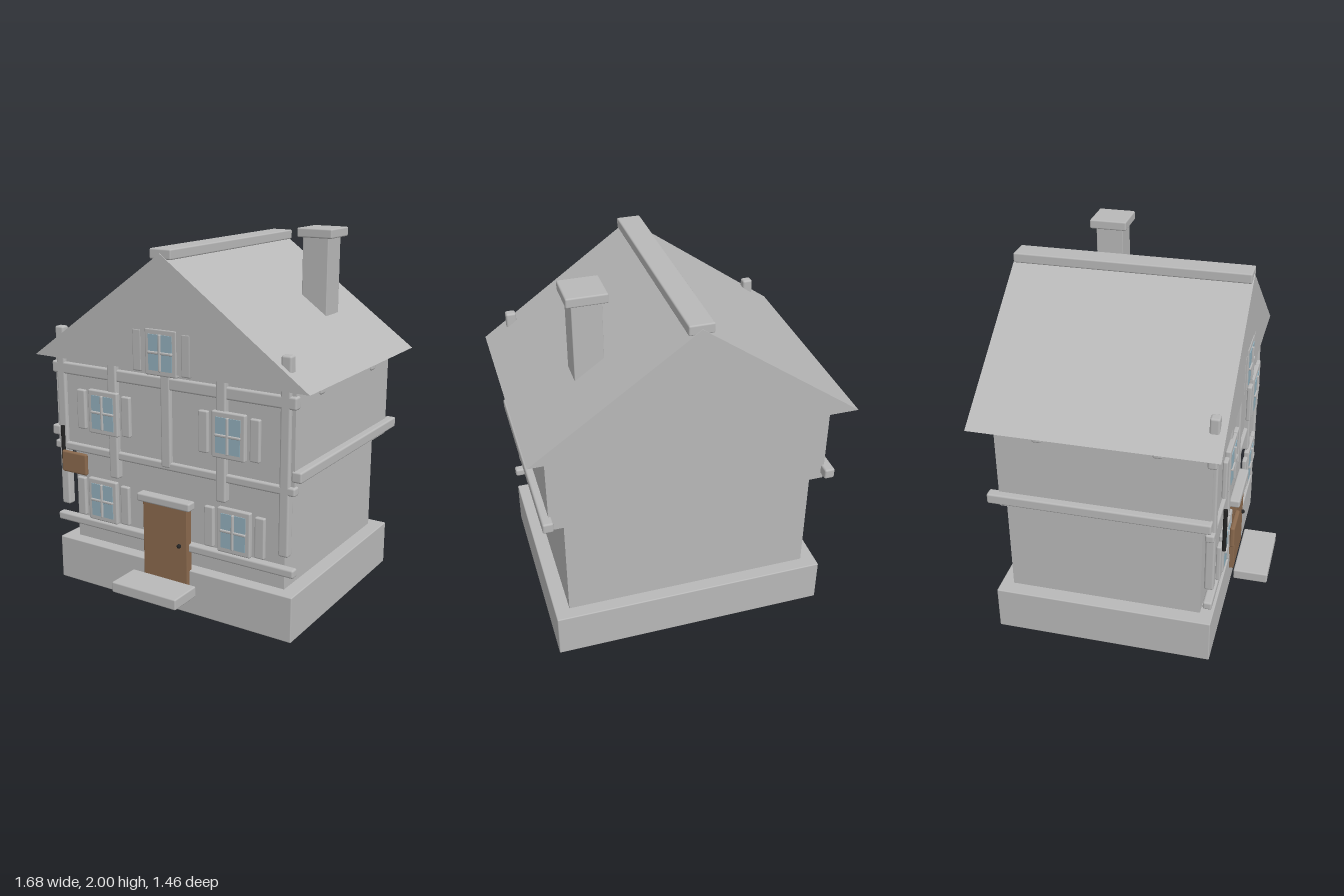
import * as THREE from 'three';
import { RoundedBoxGeometry } from 'three/addons/geometries/RoundedBoxGeometry.js';

const material = (name, color) => {
  const m = new THREE.MeshStandardMaterial({ color });
  m.name = name;
  return m;
};

export function createModel() {
  const house = new THREE.Group();
  house.name = 'house';
  const plaster = material('plaster grey', 0xb8b8b8);
  const wood = material('brown wood', 0x8b6a4e);
  const glass = material('window blue', 0x93b0bd);
  const iron = material('dark iron', 0x242424);

  const add = (name, geometry, mat, x = 0, y = 0, z = 0, parent = house) => {
    const mesh = new THREE.Mesh(geometry, mat);
    mesh.name = name;
    mesh.position.set(x, y, z);
    parent.add(mesh);
    return mesh;
  };
  // Box given by its limits on each axis; r > 0 rounds the edges
  const block = (name, [x0, x1], [y0, y1], [z0, z1], r = 0, mat = plaster, parent = house) => {
    const w = x1 - x0, h = y1 - y0, d = z1 - z0;
    const g = r ? new RoundedBoxGeometry(w, h, d, 2, r) : new THREE.BoxGeometry(w, h, d);
    return add(name, g, mat, (x0 + x1) / 2, (y0 + y1) / 2, (z0 + z1) / 2, parent);
  };

  // Masonry body
  block('foundation', [-0.75, 0.75], [0, 0.25], [-0.685, 0.5], 0.006);
  block('groundFloorWalls', [-0.67, 0.67], [0.24, 0.83], [-0.615, 0.43]);
  block('upperFloorWalls', [-0.745, 0.745], [0.825, 1.32], [-0.62, 0.485]);

  // Gabled roof, closed underneath
  const gable = new THREE.Shape();
  gable.moveTo(-0.842, 1.315);
  gable.lineTo(0.842, 1.315);
  gable.lineTo(0, 1.915);
  gable.closePath();
  const roof = new THREE.ExtrudeGeometry(gable, { depth: 1.265, bevelEnabled: false });
  add('roof', roof, plaster, 0, 0, -0.728);
  block('ridgeCap', [-0.064, 0.064], [1.885, 1.938], [-0.722, 0.532], 0.008);

  // Chimney
  block('chimneyStack', [0.38, 0.53], [1.4, 1.96], [-0.4, -0.25], 0.004);
  block('chimneyCap', [0.355, 0.56], [1.95, 2], [-0.43, -0.226], 0.008);

  // Timber frame across the front
  for (const [y, h] of [[1.252, 0.066], [0.808, 0.046], [0.378, 0.046]]) {
    block('frontRail', [-0.757, 0.757], [y - h / 2, y + h / 2], [0.457, 0.505], 0.011);
  }
  block('centreStud', [-0.03, 0.03], [0.8, 1.36], [0.465, 0.508], 0.01);
  for (const s of [-1, 1]) {
    const x = s * 0.34;
    block('frontStud', [x - 0.029, x + 0.029], [0.68, 1.38], [0.467, 0.515], 0.01);
    const c = s * 0.697;
    block('cornerPost', [c - 0.028, c + 0.028], [0.46, 1.48], [0.455, 0.505], 0.011);
    const e = s * 0.757;
    block('sideRail', [e - 0.028, e + 0.028], [0.855, 0.912], [-0.675, 0.492], 0.01);
  }
  // Cross beams whose ends show on the side walls
  for (const z of [0.215, -0.395]) {
    block('crossBeam', [-0.757, 0.757], [1.24, 1.29], [z - 0.026, z + 0.026], 0.011);
  }

  // Window with frame, pane, glazing bars and two shutters; z is the frame's front
  const addWindow = (name, x, y, z) => {
    const win = new THREE.Group();
    win.name = name;
    win.position.set(x, y, z);
    house.add(win);
    block('frame', [-0.097, 0.097], [-0.121, 0.121], [-0.03, 0], 0.008, plaster, win);
    block('pane', [-0.072, 0.072], [-0.093, 0.093], [-0.002, 0.004], 0, glass, win);
    block('uprightBar', [-0.007, 0.007], [-0.096, 0.096], [-0.004, 0.014], 0.005, plaster, win);
    block('crossBar', [-0.075, 0.075], [-0.007, 0.007], [-0.004, 0.012], 0.005, plaster, win);
    for (const s of [-1, 1]) {
      const c = s * 0.15;
      block('shutter', [c - 0.028, c + 0.028], [-0.11, 0.11], [-0.028, -0.002], 0.008, plaster, win);
    }
  };
  for (const s of [-1, 1]) {
    addWindow('groundFloorWindow', s * 0.42, 0.535, 0.52);
    addWindow('upperFloorWindow', s * 0.393, 1.042, 0.53);
  }
  addWindow('atticWindow', 0, 1.418, 0.541);

  // Entrance
  block('door', [-0.14, 0.14], [0.15, 0.605], [0.48, 0.525], 0.004, wood);
  block('doorLintel', [-0.168, 0.168], [0.597, 0.643], [0.485, 0.545], 0.01);
  block('doorstep', [-0.205, 0.203], [0.13, 0.19], [0.535, 0.728], 0.008);
  add('doorKnob', new THREE.SphereGeometry(0.012, 16, 12), iron, 0.095, 0.39, 0.532);

  // Hanging sign and its rod
  add('signRod', new THREE.CylinderGeometry(0.011, 0.011, 0.25, 16), iron, -0.665, 0.81, 0.542);
  block('signBoard', [-0.642, -0.472], [0.69, 0.81], [0.563, 0.588], 0.01, wood);

  return house;
}
